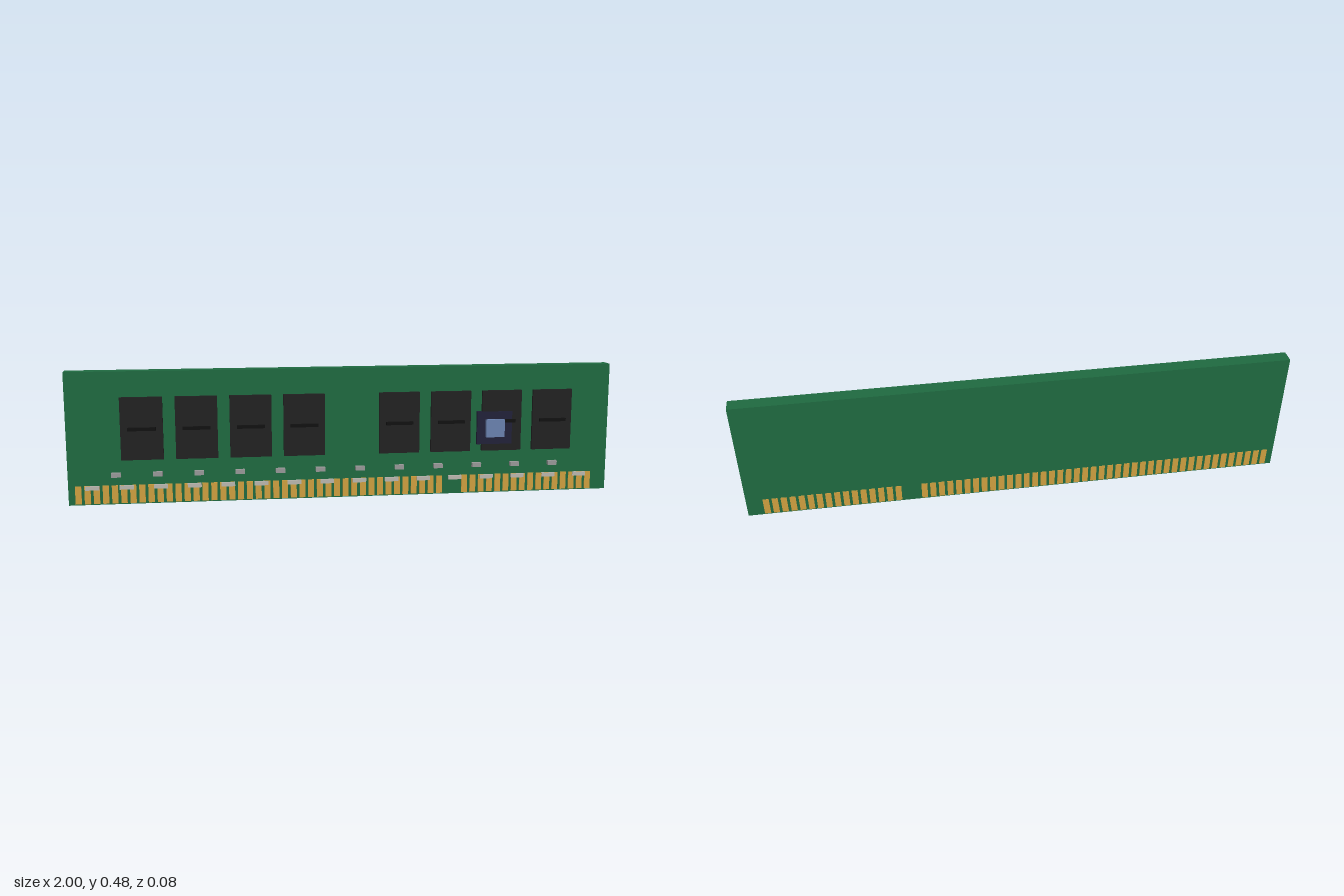
import * as THREE from 'three';

const mat = (name, color) => {
  const m = new THREE.MeshStandardMaterial({ color });
  m.name = name;
  return m;
};

export function createModel() {
  const green = mat('board green', 0x1f6b41);
  const gold = mat('contact gold', 0xd0a040);
  const black = mat('chip black', 0x222222);
  const ink = mat('mark black', 0x111111);
  const navy = mat('controller navy', 0x22223a);
  const blue = mat('die blue', 0x6a82b0);
  const grey = mat('capacitor grey', 0x999999);
  const silver = mat('resistor silver', 0xbbb8b0);

  const model = new THREE.Group();
  model.name = 'memoryModule';

  // Box given by its limits on each axis
  const box = (name, material, [x0, x1], [y0, y1], [z0, z1]) => {
    const mesh = new THREE.Mesh(new THREE.BoxGeometry(x1 - x0, y1 - y0, z1 - z0), material);
    mesh.position.set((x0 + x1) / 2, (y0 + y1) / 2, (z0 + z1) / 2);
    mesh.name = name;
    model.add(mesh);
  };
  const around = (x, width) => [x - width / 2, x + width / 2];

  const face = 0.014, back = -0.037;
  box('circuitBoard', green, [-1, 1], [0, 0.48], [back, face]);

  // Memory chips in two banks of four, each with a raised mark
  for (const start of [-0.735, 0.197]) {
    for (let i = 0; i < 4; i++) {
      const x = start + i * 0.1935;
      box('memoryChip', black, around(x, 0.15), [0.162, 0.388], [face, 0.025]);
      box('chipMark', ink, around(x, 0.1), [0.269, 0.28], [0.025, 0.038]);
    }
  }

  // Controller with its die
  box('controller', navy, around(0.557, 0.133), [0.187, 0.31], [face, 0.0265]);
  box('controllerDie', blue, around(0.557, 0.07), [0.215, 0.281], [0.0265, 0.041]);

  // Edge contacts on both faces, with a gap for the key
  for (let i = 0; i < 60; i++) {
    if (i === 42 || i === 43) continue;
    const x = around(-0.965 + i * 0.0321, 0.022);
    box('frontContact', gold, x, [0.004, 0.07], [face, 0.018]);
    box('backContact', gold, x, [0.004, 0.07], [-0.039, back]);
  }

  // Small surface parts in two rows
  for (let i = 0; i < 12; i++) {
    box('capacitor', grey, around(-0.83 + i * 0.1468, 0.034), [0.101, 0.117], [face, 0.03]);
  }
  for (let i = 0; i < 16; i++) {
    box('resistor', silver, around(-0.915 + i * 0.1205, 0.05), [0.055, 0.07], [face, 0.023]);
  }

  return model;
}
